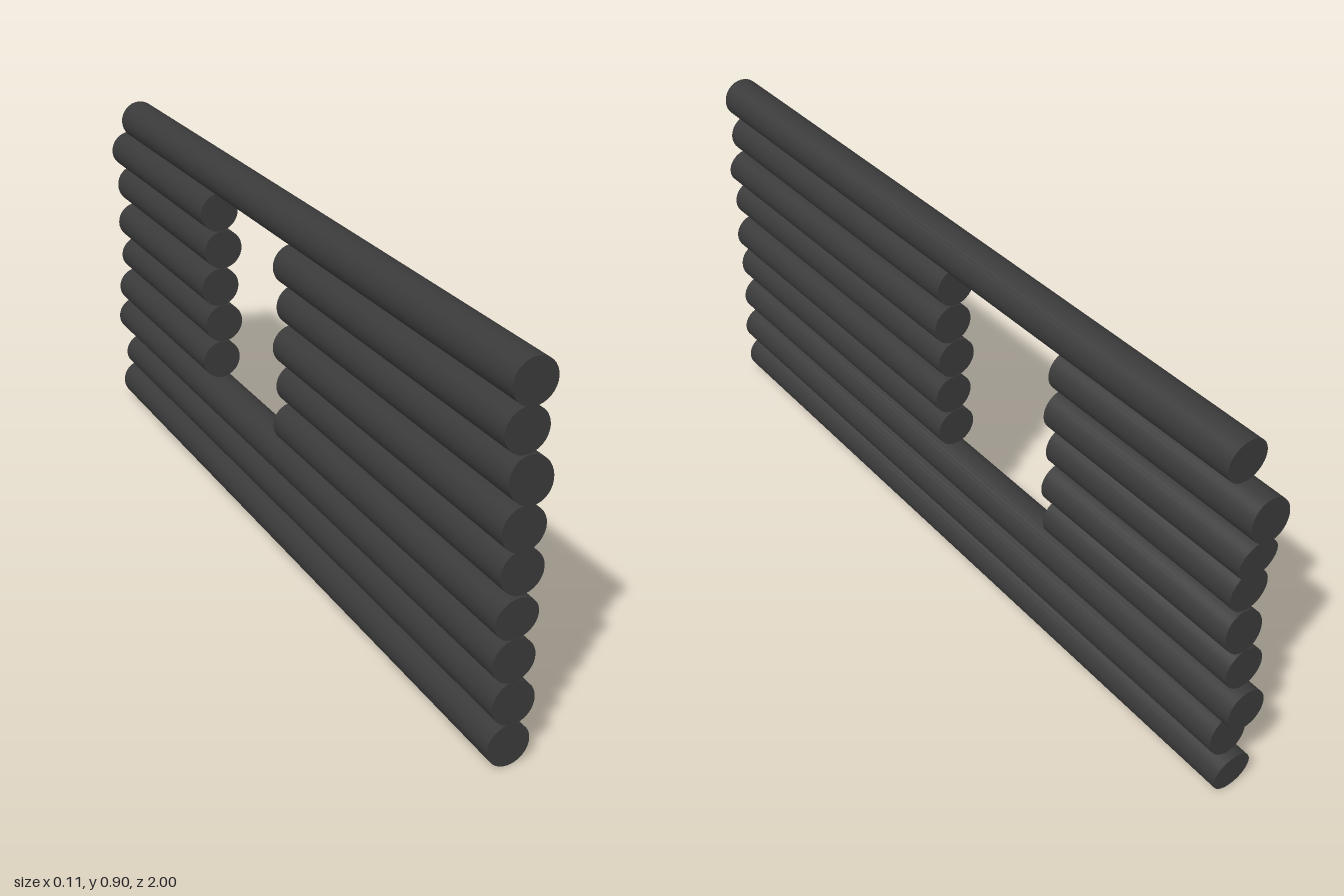
import * as THREE from 'three';

const RADIUS = 0.05;
const WINDOW_FRONT = 0.03, WINDOW_BACK = -0.375;

// Each course, bottom to top: sideways offset, then z of the front and back
// ends as [at the log's underside, at its top] for roughly sawn ends
const COURSES = [
  { x: -0.003, front: [0.985, 0.985], back: [-0.975, -0.986] },
  { x: 0.002, front: [0.988, 0.984], back: [-0.965, -0.957] },
  { x: -0.003, front: [0.985, 0.985], back: [-0.997, -0.995] },
  { x: -0.006, front: [0.985, 0.995], back: [-0.974, -0.972] },
  { x: 0.002, front: [0.987, 0.985], back: [-0.972, -0.96] },
  { x: -0.007, front: [0.996, 0.994], back: [-0.957, -0.957] },
  { x: 0.003, front: [1.0, 0.986], back: [-0.972, -0.984] },
  { x: -0.006, front: [0.983, 0.983], back: [-0.991, -0.984] },
  { x: 0, front: [0.99, 0.99], back: [-0.916, -0.919] },
];

const material = new THREE.MeshStandardMaterial({ color: 0x3a3a3a });

// A round log along z whose two ends are cut at a slight slant
function makeLog(name, x, y, front, back) {
  const geometry = new THREE.CylinderGeometry(RADIUS, RADIUS, 2, 32);
  geometry.rotateX(Math.PI / 2);
  const p = geometry.attributes.position;
  for (let i = 0; i < p.count; i++) {
    const [low, high] = p.getZ(i) > 0 ? front : back;
    p.setZ(i, THREE.MathUtils.lerp(low, high, p.getY(i) / (2 * RADIUS) + 0.5));
  }
  const log = new THREE.Mesh(geometry, material);
  log.name = name;
  log.position.set(x, y, 0);
  return log;
}

export function createModel() {
  const wall = new THREE.Group();
  wall.name = 'logWall';
  COURSES.forEach(({ x, front, back }, i) => {
    const y = RADIUS + i * 2 * RADIUS;
    if (i >= 3 && i <= 7) {
      // Courses interrupted by the window opening
      wall.add(makeLog(`frontShortLog${i + 1}`, x, y, front, [WINDOW_FRONT, WINDOW_FRONT]));
      wall.add(makeLog(`backShortLog${i + 1}`, x, y, [WINDOW_BACK, WINDOW_BACK], back));
    } else {
      wall.add(makeLog(`fullLog${i + 1}`, x, y, front, back));
    }
  });
  return wall;
}
